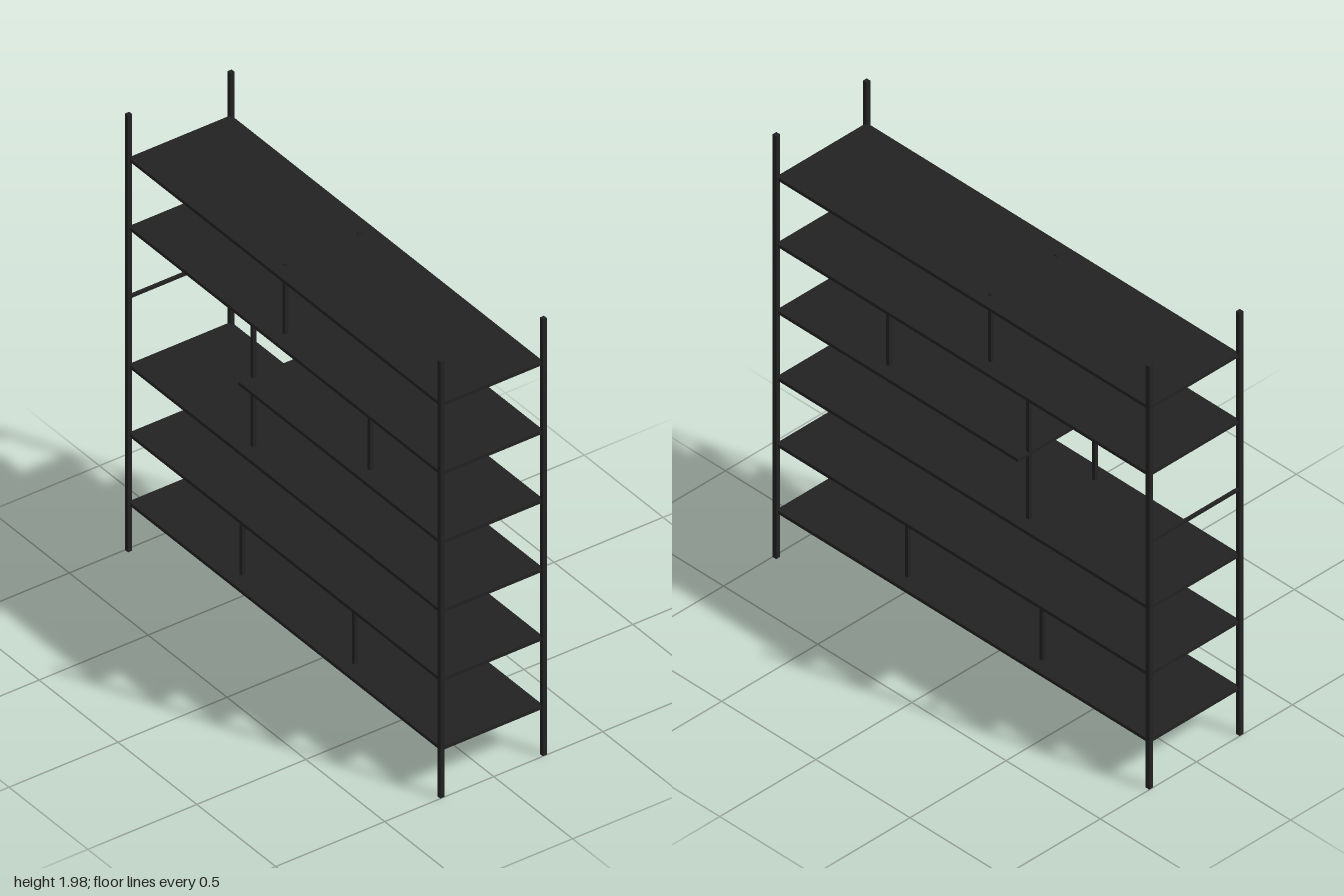
import * as THREE from 'three';

export function createModel() {
  const model = new THREE.Group();
  const black = new THREE.MeshStandardMaterial({ color: 0x222222 });
  black.name = 'matte black';

  // Box given by its centre and size
  function bar(name, [w, h, d], [x, y, z]) {
    const mesh = new THREE.Mesh(new THREE.BoxGeometry(w, h, d), black);
    mesh.name = name;
    mesh.position.set(x, y, z);
    model.add(mesh);
  }

  const endX = 0.99, endZ = 0.235, postHeight = 1.975, postWidth = 0.019;
  const shelfThickness = 0.015, dividerWidth = 0.016, dividerZ = 0.171;
  const levels = [0.214, 0.525, 0.835, 1.147, 1.459, 1.77];
  const shortLevel = 3, shortStart = -0.293;

  // Four corner posts
  for (const sx of [-1, 1]) {
    for (const sz of [-1, 1]) {
      bar('cornerPost', [postWidth, postHeight, postWidth], [sx * endX, postHeight / 2, sz * endZ]);
    }
  }

  // Shelves; one runs only from the tall divider to the left end
  levels.forEach((y, i) => {
    const start = i === shortLevel ? shortStart : -endX;
    bar('shelf', [endX - start, shelfThickness, endZ * 2], [(endX + start) / 2, y, 0]);
  });

  // Thin rod bracing the end that the short shelf leaves open
  bar('sideRod', [0.011, 0.013, endZ * 2], [-endX, levels[shortLevel], 0]);

  // Pairs of upright dividers: x, bottom, top
  const dividers = [
    [-0.357, levels[0], levels[1]],
    [0.357, levels[0], levels[1]],
    [-0.287, levels[2], levels[4]],
    [0.456, levels[3], levels[4]],
    [-0.085, levels[4], levels[5] + 0.013],
  ];
  for (const [x, bottom, top] of dividers) {
    for (const sz of [-1, 1]) {
      bar('divider', [dividerWidth, top - bottom, dividerWidth], [x, (top + bottom) / 2, sz * dividerZ]);
    }
  }

  return model;
}
